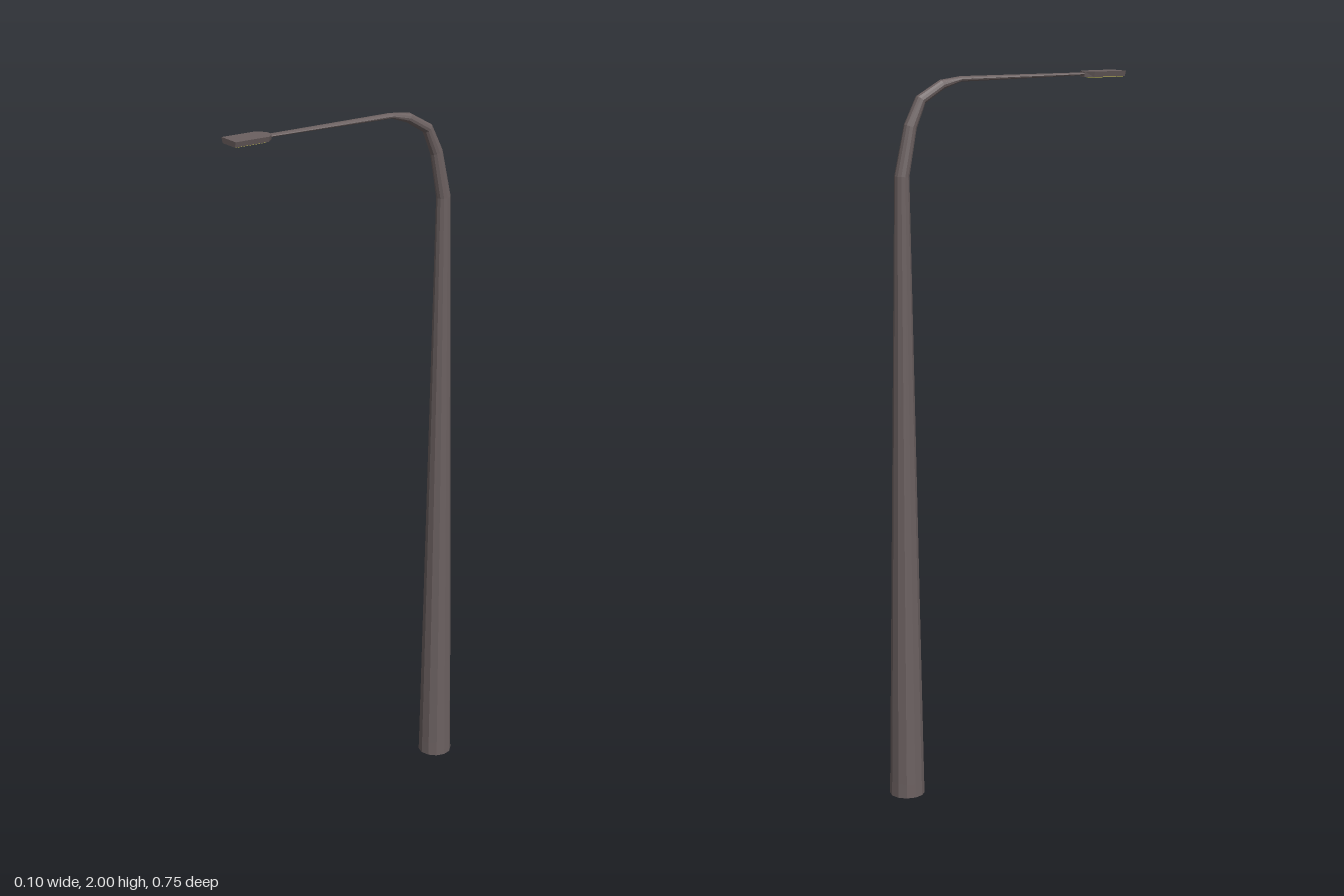
import * as THREE from 'three';

const metal = new THREE.MeshStandardMaterial({ name: 'warm grey metal', color: 0x6b6060, flatShading: true, side: THREE.DoubleSide });
const glow = new THREE.MeshStandardMaterial({ name: 'yellow lamp glass', color: 0xcfc850 });

// Tube lofted in the yz plane; ring = [y, z, tilt towards +z, half width, half depth]
function loft(rings, sides) {
  const pos = [], index = [];
  rings.forEach(([y, z, tilt, rx, rn]) => {
    for (let j = 0; j < sides; j++) {
      const a = (j / sides) * Math.PI * 2;
      const n = Math.sin(a) * rn;
      pos.push(Math.cos(a) * rx, y - Math.sin(tilt) * n, z + Math.cos(tilt) * n);
    }
  });
  for (let i = 0; i < rings.length - 1; i++) {
    for (let j = 0; j < sides; j++) {
      const a = i * sides + j, b = i * sides + (j + 1) % sides;
      index.push(a, a + sides, b, b, a + sides, b + sides);
    }
  }
  const g = new THREE.BufferGeometry();
  g.setAttribute('position', new THREE.Float32BufferAttribute(pos, 3));
  g.setIndex(index);
  g.computeVertexNormals();
  return g;
}

// Plan outline of the lamp head, with chamfered shoulders at the arm
function headPlan(w, back, shoulder, front, neck) {
  return new THREE.Shape([
    [-neck, back], [neck, back], [w, shoulder], [w, front], [-w, front], [-w, shoulder],
  ].map(([x, z]) => new THREE.Vector2(x, z)));
}

// Horizontal slab hanging down from height top
function slab(shape, depth, top) {
  const g = new THREE.ExtrudeGeometry(shape, { depth, bevelEnabled: false });
  g.rotateX(Math.PI / 2);
  g.translate(0, top, 0);
  return g;
}

export function createModel() {
  const model = new THREE.Group();
  model.name = 'streetLamp';
  const add = (name, geometry, material) => {
    const mesh = new THREE.Mesh(geometry, material);
    mesh.name = name;
    model.add(mesh);
  };

  // Tapered hollow pole, open at the foot
  add('pole', loft([
    [0, -0.324, 0, 0.049, 0.049],
    [0.04, -0.324, 0, 0.048, 0.048],
    [1.74, -0.321, 0.08, 0.0195, 0.0205],
  ], 12), metal);

  // Bend at the top, running into the thin horizontal arm
  add('bendAndArm', loft([
    [1.74, -0.321, 0.08, 0.0195, 0.0205],
    [1.87, -0.294, 0.35, 0.017, 0.018],
    [1.94, -0.262, 0.72, 0.016, 0.0155],
    [1.978, -0.197, 1.2, 0.0145, 0.0135],
    [1.991, -0.14, 1.52, 0.012, 0.0075],
    [1.993, 0.26, Math.PI / 2, 0.012, 0.004],
  ], 12), metal);

  // Flat lamp head, narrowing slightly towards its underside
  const head = slab(headPlan(0.034, 0.25, 0.27, 0.373, 0.012), 0.015, 2.0);
  const p = head.attributes.position;
  for (let i = 0; i < p.count; i++) {
    if (p.getY(i) < 1.99) p.setX(i, p.getX(i) * 0.85);
  }
  head.computeVertexNormals();
  add('lampHead', head, metal);

  // Glass panel under the head
  add('lampGlass', slab(headPlan(0.026, 0.262, 0.275, 0.368, 0.012), 0.002, 1.9855), glow);

  return model;
}
